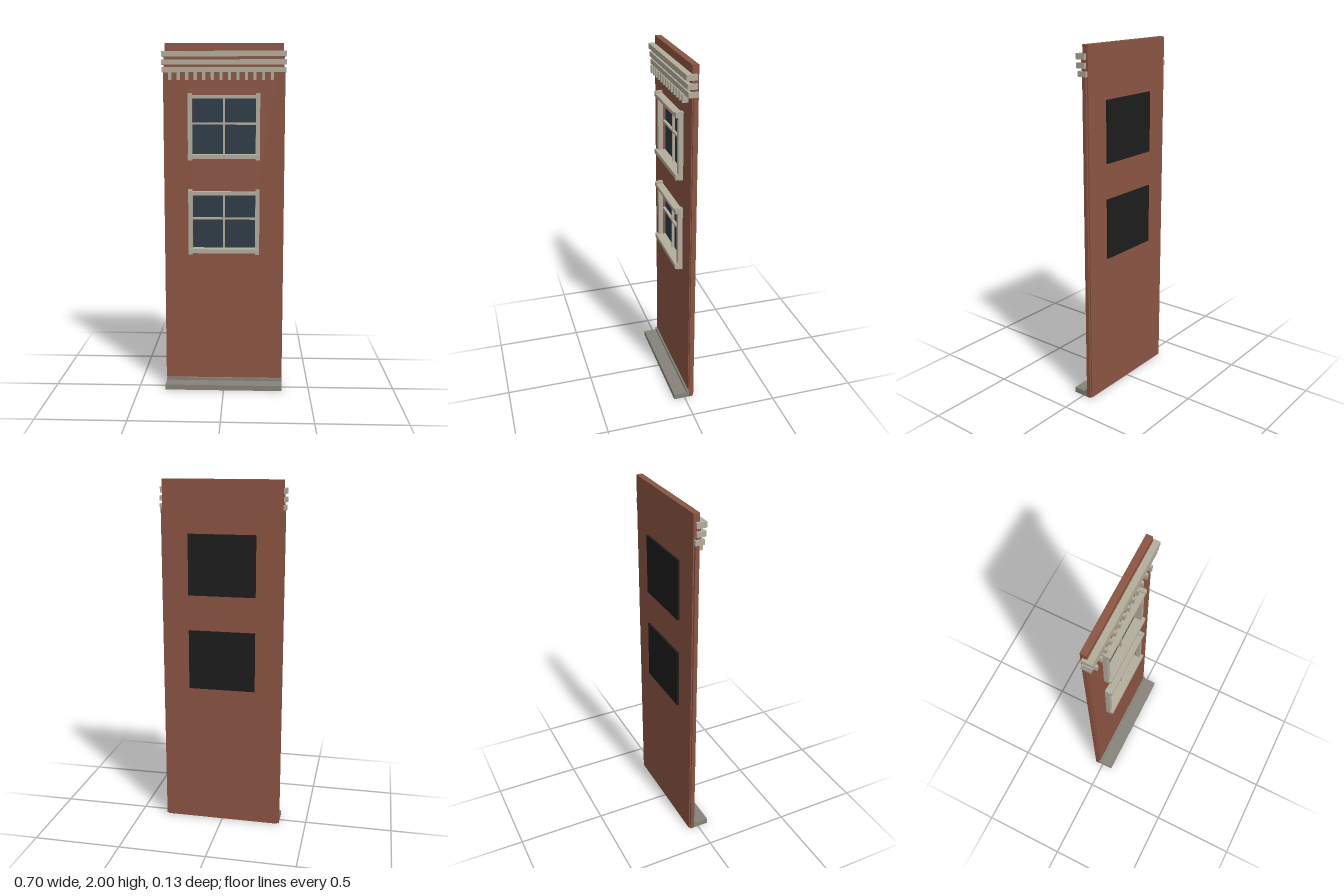
import * as THREE from 'three';

const material = (name, color) => {
  const m = new THREE.MeshStandardMaterial({ color });
  m.name = name;
  return m;
};

export function createModel() {
  const brick = material('brick', 0x8c5543);
  const stone = material('stone', 0xb3ad9b);
  const baseStone = material('baseStone', 0x85837a);
  const glass = material('glass', 0x2d3b47);
  const black = material('black', 0x1d1d1d);

  const model = new THREE.Group();
  model.name = 'facadePanel';

  // Box given by its limits on each axis
  const box = (parent, name, mat, x0, x1, y0, y1, z0, z1) => {
    const mesh = new THREE.Mesh(new THREE.BoxGeometry(x1 - x0, y1 - y0, z1 - z0), mat);
    mesh.position.set((x0 + x1) / 2, (y0 + y1) / 2, (z0 + z1) / 2);
    mesh.name = name;
    parent.add(mesh);
    return mesh;
  };

  const windows = [1.537, 0.993]; // centre heights
  const HW = 0.18, HH = 0.16; // half size of an opening

  // Brick wall with two window openings
  const rect = (target, x0, x1, y0, y1) => {
    target.moveTo(x0, y0);
    target.lineTo(x1, y0);
    target.lineTo(x1, y1);
    target.lineTo(x0, y1);
    target.closePath();
    return target;
  };
  const outline = rect(new THREE.Shape(), -0.333, 0.333, 0.002, 2);
  for (const y of windows) outline.holes.push(rect(new THREE.Path(), -HW, HW, y - HH, y + HH));
  const wall = new THREE.Mesh(new THREE.ExtrudeGeometry(outline, { depth: 0.035, bevelEnabled: false }), brick);
  wall.position.z = -0.057;
  wall.name = 'wall';
  model.add(wall);

  // Narrow edge strips on both sides
  for (const s of [-1, 1]) {
    const a = s * 0.325, b = s * 0.344;
    box(model, 'edgeStrip', brick, Math.min(a, b), Math.max(a, b), 0.002, 1.85, -0.05, -0.027);
  }

  // Base step
  box(model, 'baseStep', baseStone, -0.342, 0.342, 0, 0.031, -0.04, 0.064);
  box(model, 'baseTrim', baseStone, -0.342, 0.342, 0.031, 0.048, -0.04, -0.012);

  // Cornice bands and dentils
  const cornice = new THREE.Group();
  cornice.name = 'cornice';
  model.add(cornice);
  box(cornice, 'upperBand', stone, -0.348, 0.348, 1.926, 1.956, -0.045, 0.011);
  box(cornice, 'middleBand', stone, -0.35, 0.35, 1.882, 1.91, -0.045, 0.006);
  box(cornice, 'lowerBand', stone, -0.348, 0.348, 1.84, 1.868, -0.053, 0);
  box(cornice, 'backing', brick, -0.338, 0.338, 1.845, 1.95, -0.04, -0.018);
  for (let i = 0; i < 13; i++) {
    const x = -0.303 + i * 0.0477;
    box(cornice, 'dentil', stone, x - 0.008, x + 0.008, 1.797, 1.842, -0.025, 0.01);
  }

  // Windows
  for (const y of windows) {
    const win = new THREE.Group();
    win.name = 'window';
    win.position.y = y;
    model.add(win);
    box(win, 'backPanel', black, -0.19, 0.19, -0.171, 0.171, -0.068, -0.0575);
    box(win, 'pane', glass, -HW, HW, -HH, HH, -0.0575, -0.037);
    for (const s of [-1, 1]) {
      const x = s * 0.192;
      box(win, 'jamb', stone, x - 0.012, x + 0.012, -0.189, 0.189, -0.036, 0.005);
      // Small end blocks above the head and below the sill
      box(win, 'topBlock', stone, x - 0.011, x + 0.011, 0.176, 0.186, -0.02, 0.019);
      box(win, 'bottomBlock', stone, x - 0.011, x + 0.011, -0.186, -0.178, -0.02, 0.019);
    }
    box(win, 'head', stone, -0.203, 0.203, 0.158, 0.177, -0.036, 0.02);
    box(win, 'sill', stone, -0.204, 0.204, -0.179, -0.155, -0.036, 0.021);
    // Glazing bars
    box(win, 'verticalBar', stone, -0.005, 0.005, -HH, HH, -0.037, -0.022);
    box(win, 'horizontalBar', stone, -HW, HW, 0.012, 0.023, -0.037, -0.021);
  }

  return model;
}
